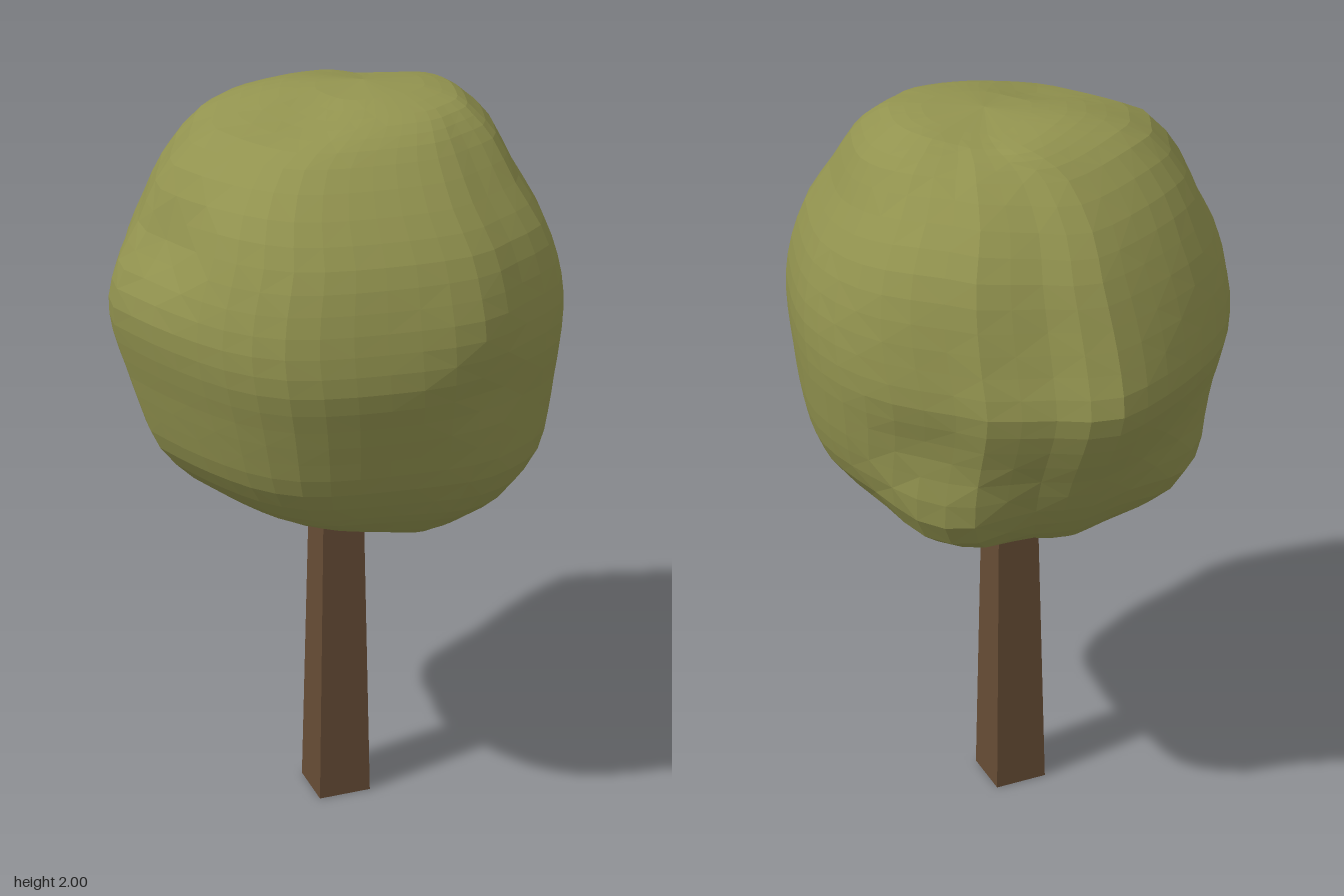
import * as THREE from 'three';

// Plan of the crown at its widest, clockwise from the back: [x, z]
const PLAN = [
  [0, -0.61], [0.07, -0.6], [0.17, -0.545], [0.3, -0.49], [0.37, -0.41], [0.47, -0.31], [0.55, -0.17],
  [0.583, 0], [0.57, 0.13], [0.53, 0.29], [0.5, 0.38], [0.45, 0.44], [0.36, 0.5], [0.24, 0.58],
  [0.13, 0.6], [0, 0.6], [-0.2, 0.575], [-0.3, 0.54], [-0.4, 0.45], [-0.5, 0.27], [-0.56, 0.11],
  [-0.583, 0.02], [-0.56, -0.07], [-0.5, -0.2], [-0.45, -0.3], [-0.37, -0.385], [-0.25, -0.48], [-0.1, -0.57],
];

// Extents of the crown by height: [y, xMin, xMax, zMin, zMax]
const LEVELS = [
  [1.995, -0.03, 0.25, -0.13, 0.14], [1.98, -0.13, 0.32, -0.21, 0.25], [1.95, -0.24, 0.36, -0.26, 0.32],
  [1.9, -0.37, 0.41, -0.31, 0.38], [1.8, -0.46, 0.46, -0.4, 0.47], [1.7, -0.51, 0.52, -0.47, 0.54],
  [1.6, -0.56, 0.56, -0.52, 0.575], [1.5, -0.583, 0.58, -0.565, 0.595], [1.4, -0.57, 0.58, -0.6, 0.6],
  [1.3, -0.54, 0.57, -0.57, 0.575], [1.2, -0.51, 0.555, -0.52, 0.545], [1.1, -0.47, 0.52, -0.47, 0.51],
  [1.0, -0.38, 0.43, -0.4, 0.44], [0.95, -0.29, 0.34, -0.34, 0.39], [0.905, -0.12, 0.24, -0.2, 0.33],
  [0.885, 0, 0.16, -0.08, 0.23],
];

// Local swellings and hollows: [x, y, z, push outward, reach]
const LUMPS = [
  [0.36, 1.72, -0.3, 0.06, 0.24], // back left shoulder
  [0.34, 1.05, -0.31, 0.08, 0.15], // back left, low
  [0.45, 1.25, -0.33, -0.012, 0.1],
  [-0.3, 1.05, -0.28, 0.07, 0.18], // back right, low
  [-0.2, 1.91, -0.22, 0.03, 0.18], // back right, high
  [-0.33, 1.7, -0.33, 0.025, 0.2],
  [0.3, 1.03, 0.33, 0.045, 0.18], // front left, low
  [0.2, 0.92, 0.24, 0.025, 0.12],
  [0.17, 1.99, -0.16, -0.03, 0.13], // hollows beside the summit
  [-0.1, 1.97, 0.15, -0.025, 0.13],
  [-0.49, 1.7, 0.16, -0.03, 0.12], // front right notch
  [-0.38, 1.76, 0.38, 0.015, 0.12],
  [0.15, 1.5, 0.57, 0.01, 0.12], // front crease
  [0.22, 1.37, 0.56, -0.022, 0.1],
];

const SIDES = 44;
const RINGS = 31;

function crownGeometry() {
  const plan = new THREE.CatmullRomCurve3(PLAN.map(([x, z]) => new THREE.Vector3(x, 0, z)), true)
    .getSpacedPoints(SIDES).slice(0, SIDES);
  const levels = new THREE.CubicInterpolant(LEVELS.map((_, i) => i), LEVELS.flat(), 5);
  const centre = new THREE.Vector3(0, 1.44, 0);
  const pos = [];
  const index = [];
  for (let i = 0; i < RINGS; i++) {
    const [y, x0, x1, z0, z1] = levels.evaluate(i * (LEVELS.length - 1) / (RINGS - 1));
    for (const q of plan) {
      const p = new THREE.Vector3(
        (x0 + x1) / 2 + (q.x / 0.583) * (x1 - x0) / 2, y,
        (z0 + z1) / 2 + (q.z / 0.605) * (z1 - z0) / 2);
      let push = 0;
      for (const [lx, ly, lz, amount, reach] of LUMPS) {
        const d = p.distanceTo(new THREE.Vector3(lx, ly, lz)) / reach;
        push += amount * Math.exp(-d * d);
      }
      p.addScaledVector(p.clone().sub(centre).normalize(), push);
      pos.push(p.x, THREE.MathUtils.clamp(p.y, 0.88, 2), p.z);
    }
  }
  // Skin between neighbouring rings
  for (let i = 0; i < RINGS - 1; i++) {
    for (let j = 0; j < SIDES; j++) {
      const a = i * SIDES + j, b = i * SIDES + (j + 1) % SIDES;
      const c = a + SIDES, d = b + SIDES;
      if ((i + j) % 2) index.push(a, b, c, b, d, c);
      else index.push(a, b, d, a, d, c);
    }
  }
  // Closed top and bottom
  const top = pos.length / 3;
  pos.push(0.1, 2, 0, 0.08, 0.88, 0.08);
  const last = (RINGS - 1) * SIDES;
  for (let j = 0; j < SIDES; j++) {
    const k = (j + 1) % SIDES;
    index.push(top, k, j, top + 1, last + j, last + k);
  }
  const geo = new THREE.BufferGeometry();
  geo.setAttribute('position', new THREE.Float32BufferAttribute(pos, 3));
  geo.setIndex(index);
  geo.computeVertexNormals();
  return geo;
}

export function createModel() {
  const tree = new THREE.Group();
  tree.name = 'tree';

  const leafGreen = new THREE.MeshStandardMaterial({ color: 0x92934f, flatShading: true });
  leafGreen.name = 'leaf green';
  const barkBrown = new THREE.MeshStandardMaterial({ color: 0x664c35, flatShading: true });
  barkBrown.name = 'bark brown';

  // Lumpy rounded crown
  const crown = new THREE.Mesh(crownGeometry(), leafGreen);
  crown.name = 'crown';
  tree.add(crown);

  // Square tapering trunk, running a little way into the crown
  const trunkGeo = new THREE.CylinderGeometry(0.053 * Math.SQRT2, 0.0735 * Math.SQRT2, 1.05, 4);
  trunkGeo.rotateY(Math.PI / 4);
  const trunk = new THREE.Mesh(trunkGeo, barkBrown);
  trunk.name = 'trunk';
  trunk.position.set(0.018, 0.525, 0.034);
  tree.add(trunk);

  return tree;
}
